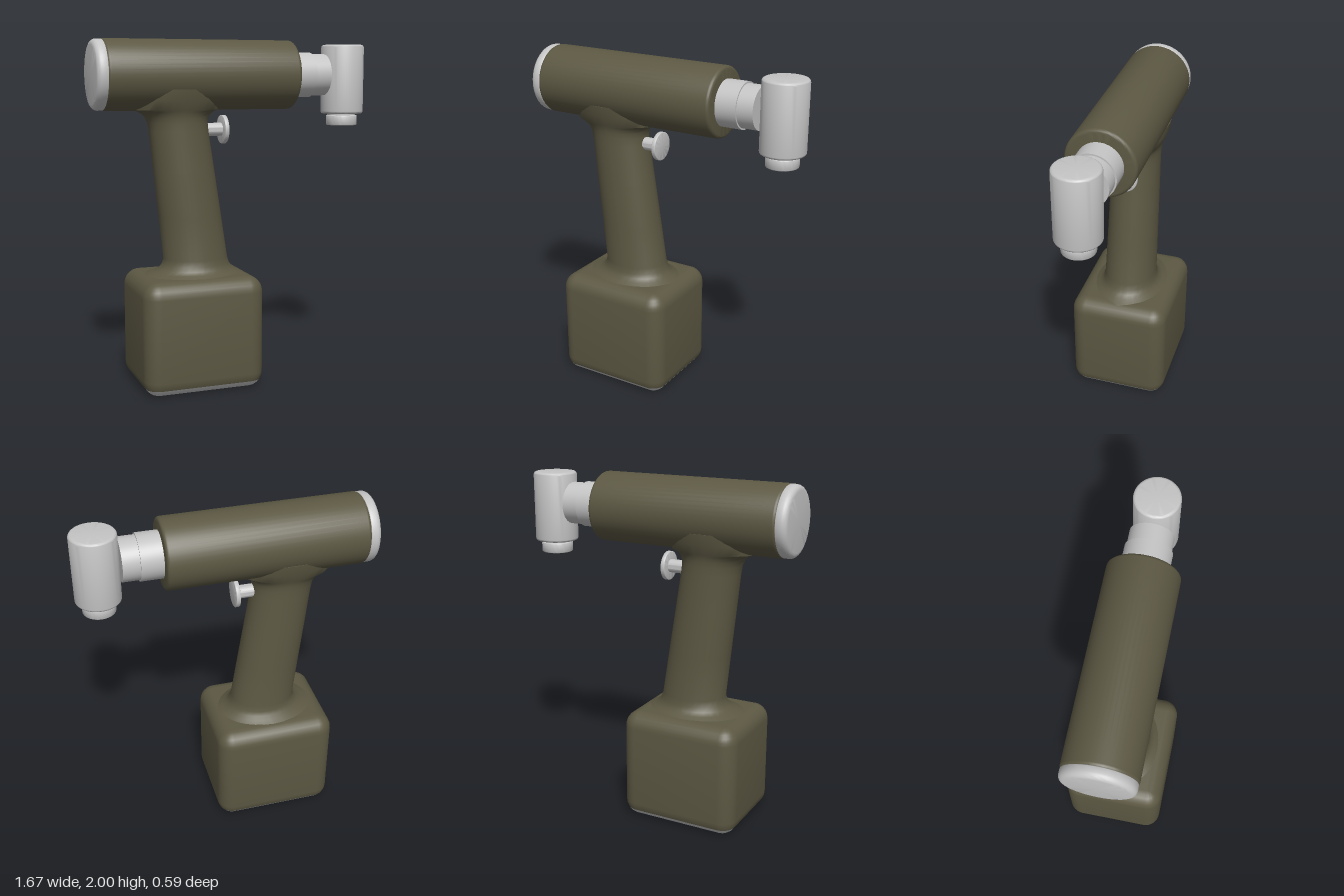
import * as THREE from 'three';
import { toCreasedNormals } from 'three/addons/utils/BufferGeometryUtils.js';

const olive = new THREE.MeshStandardMaterial({ color: 0x5c5843 });
olive.name = 'olive shell';
const silver = new THREE.MeshStandardMaterial({ color: 0xc4c4c4 });
silver.name = 'light grey';

// Rounded-rectangle outline in the xz plane
function ring({ y, x, hx, hz, rx, rz }, n = 8) {
  const points = [];
  for (let corner = 0; corner < 4; corner++) {
    const sx = corner === 0 || corner === 3 ? 1 : -1;
    const sz = corner < 2 ? 1 : -1;
    for (let i = 0; i <= n; i++) {
      const a = (corner + i / n) * Math.PI / 2;
      points.push([x + sx * (hx - rx) + Math.cos(a) * rx, y, sz * (hz - rz) + Math.sin(a) * rz]);
    }
  }
  return points;
}

// Skin over cross-sections listed from bottom to top, closed at both ends
function loft(sections) {
  const rings = sections.map((s) => ring(s));
  const n = rings[0].length;
  const positions = rings.flat(2);
  const index = [];
  for (let i = 0; i < rings.length - 1; i++) {
    for (let j = 0; j < n; j++) {
      const a = i * n + j, b = i * n + (j + 1) % n;
      index.push(a, a + n, b, b, a + n, b + n);
    }
  }
  const top = (rings.length - 1) * n;
  for (let j = 1; j < n - 1; j++) {
    index.push(0, j, j + 1, top, top + j + 1, top + j);
  }
  const geometry = new THREE.BufferGeometry();
  geometry.setAttribute('position', new THREE.Float32BufferAttribute(positions, 3));
  geometry.setIndex(index);
  return toCreasedNormals(geometry, 0.6);
}

// Turned solid from y0 to y1 with rounded rims
function turned(y0, y1, radius, r0 = 0, r1 = 0) {
  const points = [new THREE.Vector2(0, y0)];
  const steps = 5;
  const arc = (r, y, dir) => {
    for (let i = 0; i <= steps; i++) {
      const a = (dir > 0 ? i : steps - i) / steps * Math.PI / 2;
      points.push(new THREE.Vector2(radius - r + r * Math.sin(a), y + dir * r * (1 - Math.cos(a))));
      if (r === 0) break;
    }
  };
  arc(r0, y0, 1);
  arc(r1, y1, -1);
  points.push(new THREE.Vector2(0, y1));
  return toCreasedNormals(new THREE.LatheGeometry(points, 48), 0.6);
}

export function createModel() {
  const model = new THREE.Group();
  model.name = 'massageTool';
  const add = (name, geometry, material, x = 0, y = 0) => {
    const mesh = new THREE.Mesh(geometry, material);
    mesh.name = name;
    mesh.position.set(x, y, 0);
    model.add(mesh);
  };
  const addAlongX = (name, geometry, material, y) => add(name, geometry.rotateZ(-Math.PI / 2), material, 0, y);

  // Battery base, its lower edge split off as a grey foot
  const R = 0.09, height = 0.655;
  const baseSection = (degrees, upper) => {
    const a = THREE.MathUtils.degToRad(degrees);
    const inset = R * (1 - Math.cos(a)), low = R * (1 - Math.sin(a));
    const r = Math.max(R - inset, 0.004);
    return { y: upper ? height - low : low, x: -0.257, hx: 0.355 - inset, hz: 0.296 - inset, rx: r, rz: r };
  };
  add('baseFoot', loft([90, 75, 60, 45, 30].map((d) => baseSection(d, false))), silver);
  add('batteryBase', loft([
    ...[30, 15, 0].map((d) => baseSection(d, false)),
    ...[0, 15, 30, 45, 60, 75, 90].map((d) => baseSection(d, true)),
  ]), olive);

  // Leaning grip: [y, back x, front x, half depth], flared at both ends
  const grip = [
    [0.640, -0.565, 0.055, 0.235], [0.655, -0.535, 0.030, 0.215], [0.667, -0.490, 0.005, 0.190],
    [0.685, -0.455, -0.020, 0.170], [0.710, -0.433, -0.037, 0.160], [0.745, -0.425, -0.047, 0.155],
    [1.000, -0.452, -0.085, 0.150], [1.250, -0.479, -0.123, 0.145], [1.480, -0.503, -0.158, 0.140],
    [1.530, -0.512, -0.163, 0.140], [1.560, -0.526, -0.158, 0.142], [1.580, -0.545, -0.145, 0.146],
    [1.595, -0.572, -0.122, 0.151], [1.605, -0.605, -0.095, 0.155], [1.660, -0.615, -0.085, 0.178],
    [1.720, -0.615, -0.085, 0.188],
  ];
  add('grip', loft(grip.map(([y, x0, x1, hz]) => {
    const hx = (x1 - x0) / 2;
    return { y, x: (x0 + x1) / 2, hx, hz, rx: hx * 0.97, rz: hz * 0.97 };
  })), olive);

  // Barrel with rear cap and stepped neck
  addAlongX('barrel', turned(-0.778, 0.355, 0.2, 0.02, 0.02), olive, 1.8);
  addAlongX('rearCap', turned(-0.835, -0.772, 0.197, 0.032, 0.006), silver, 1.8);
  addAlongX('neckCollar', turned(0.33, 0.48, 0.131), silver, 1.8);
  addAlongX('neck', turned(0.46, 0.576, 0.122), silver, 1.8);

  // Upright head with its stepped tip
  add('head', turned(1.568, 1.978, 0.128, 0.015, 0.018), silver, 0.703);
  add('headTipNeck', turned(1.55, 1.58, 0.08), silver, 0.703);
  add('headTip', turned(1.498, 1.559, 0.093, 0.008, 0.008), silver, 0.703);

  // Trigger button on a short stem
  addAlongX('triggerStem', turned(-0.24, -0.07, 0.038), silver, 1.487);
  addAlongX('triggerButton', turned(-0.075, -0.05, 0.083, 0.004, 0.004), silver, 1.487);

  return model;
}
